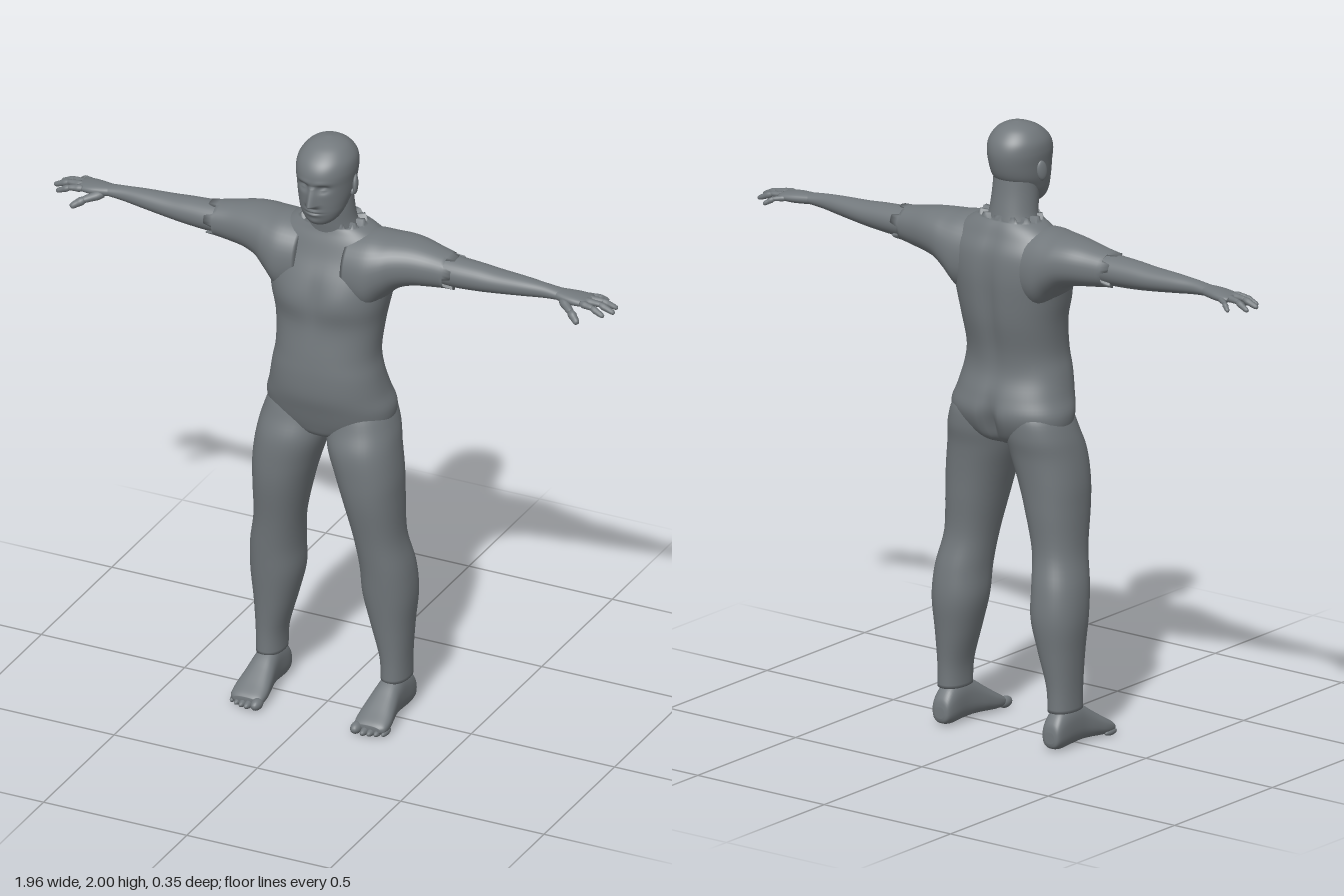
import * as THREE from 'three';

const grey = new THREE.MeshStandardMaterial({ color: 0x72787c });
grey.name = 'grey';

// Which coordinate each ring column drives: [sweep, u, v]
const AXES = { x: [0, 1, 2], y: [1, 2, 0], z: [2, 0, 1] };

// Closed smooth loft; rings are [t, uLow, uHigh, vLow, vHigh] with t rising
function loft(axis, rings, { steps = 5, seg = 40, p = 2.2, deform } = {}) {
  const [it, iu, iv] = AXES[axis];
  const spline = (k, s) => {
    const i = Math.min(Math.floor(s), rings.length - 2), f = s - i;
    const at = (j) => rings[Math.max(0, Math.min(rings.length - 1, j))][k];
    const [a, b, c, d] = [at(i - 1), at(i), at(i + 1), at(i + 2)];
    return b + 0.5 * f * (c - a + f * (2 * a - 5 * b + 4 * c - d + f * (3 * (b - c) + d - a)));
  };
  const pos = [], idx = [], n = (rings.length - 1) * steps;
  const put = (t, u, v, end) => {
    const q = new THREE.Vector3().setComponent(it, t).setComponent(iu, u).setComponent(iv, v);
    if (deform) deform(q, end);
    pos.push(q.x, q.y, q.z);
  };
  const pow = (c) => Math.sign(c) * Math.abs(c) ** (2 / p);
  for (let r = 0; r <= n; r++) {
    const [t, u0, u1, v0, v1] = [0, 1, 2, 3, 4].map((k) => spline(k, r / steps));
    for (let j = 0; j < seg; j++) {
      const a = (j / seg) * Math.PI * 2;
      put(t, (u0 + u1) / 2 + pow(Math.cos(a)) * (u1 - u0) / 2,
        (v0 + v1) / 2 + pow(Math.sin(a)) * (v1 - v0) / 2, r === n ? j + 1 : 0);
      if (r < n) {
        const b = r * seg + j, c = r * seg + (j + 1) % seg;
        idx.push(b, c, c + seg, b, c + seg, b + seg);
      }
    }
  }
  // End caps
  for (const [ring, first] of [[rings[0], 0], [rings[rings.length - 1], n * seg]]) {
    const centre = pos.length / 3;
    put(ring[0], (ring[1] + ring[2]) / 2, (ring[3] + ring[4]) / 2, 0);
    for (let j = 0; j < seg; j++) {
      const b = first + j, c = first + (j + 1) % seg;
      if (first) idx.push(centre, b, c); else idx.push(centre, c, b);
    }
  }
  const g = new THREE.BufferGeometry();
  g.setAttribute('position', new THREE.Float32BufferAttribute(pos, 3));
  g.setIndex(idx);
  g.computeVertexNormals();
  return g;
}

function mirrored(geometry) {
  const g = geometry.clone().scale(-1, 1, 1), i = g.index.array;
  for (let k = 0; k < i.length; k += 3) [i[k], i[k + 1]] = [i[k + 1], i[k]];
  g.computeVertexNormals();
  return g;
}

// Tapered digit with rounded ends between two points
function digit(from, to, r) {
  const a = new THREE.Vector3(...from), d = new THREE.Vector3(...to).sub(a), L = d.length();
  const ring = (t, k) => [t * L, -r * k, r * k, -r * k, r * k];
  const g = loft('x', [ring(0, 0.8), ring(0.25, 1.05), ring(0.5, 0.92), ring(0.8, 0.8),
    ring(0.95, 0.55), ring(1, 0.05)], { steps: 3, seg: 12, p: 2 });
  const q = new THREE.Quaternion().setFromUnitVectors(new THREE.Vector3(1, 0, 0), d.normalize());
  return g.applyQuaternion(q).translate(a.x, a.y, a.z);
}

function ball(x, y, z, a, b, c) {
  return new THREE.SphereGeometry(1, 20, 14).scale(a, b, c).translate(x, y, z);
}

const bump = (d, w) => Math.exp(-((d / w) ** 2));
const sym = (rows) => rows.map(([t, lo, hi, h]) => [t, lo, hi, -h, h]);

export function createModel() {
  const model = new THREE.Group();
  model.name = 'standingFigure';
  const add = (name, geometry) => {
    const m = new THREE.Mesh(geometry, grey);
    m.name = name;
    model.add(m);
  };
  const pair = (name, geometry) => {
    add('left' + name, geometry);
    add('right' + name, mirrored(geometry));
  };

  // Torso with chest, spine groove, buttocks and a ragged collar
  add('torso', loft('y', sym([
    [0.955, -0.07, 0.03, 0.04], [0.975, -0.12, 0.07, 0.11], [1.01, -0.15, 0.088, 0.195],
    [1.07, -0.172, 0.108, 0.214], [1.13, -0.16, 0.125, 0.197], [1.2, -0.138, 0.129, 0.182],
    [1.27, -0.14, 0.124, 0.17], [1.37, -0.162, 0.112, 0.178], [1.45, -0.172, 0.115, 0.195],
    [1.53, -0.176, 0.098, 0.21], [1.6, -0.168, 0.068, 0.21], [1.65, -0.145, 0.05, 0.185],
    [1.68, -0.13, 0.038, 0.145], [1.7, -0.115, 0.032, 0.105],
  ]), {
    seg: 72,
    deform(q, end) {
      if (q.z < -0.05) {
        q.z += 0.035 * bump(q.x, 0.022) * bump(q.y - 1.04, 0.07);
        q.z += 0.014 * bump(q.x, 0.03) * bump(q.y - 1.42, 0.2);
      } else if (q.z > 0.03) {
        q.z += 0.008 * bump(Math.abs(q.x) - 0.085, 0.06) * bump(q.y - 1.47, 0.06);
        q.z -= 0.006 * bump(q.x, 0.02) * bump(q.y - 1.46, 0.08);
      }
      if (end) q.y += end % 6 < 3 ? 0.012 : -0.006;
    },
  }));

  // Shoulder flowing into a short ragged sleeve
  pair('Sleeve', loft('x', [
    [0.08, 1.44, 1.675, -0.15, 0.08], [0.15, 1.425, 1.683, -0.16, 0.085],
    [0.2, 1.475, 1.679, -0.158, 0.07], [0.24, 1.51, 1.678, -0.152, 0.05],
    [0.29, 1.527, 1.674, -0.142, 0.032], [0.35, 1.535, 1.663, -0.125, 0.018],
    [0.41, 1.543, 1.652, -0.11, 0.012],
  ], { deform(q, end) { if (end) q.x += end % 8 < 4 ? 0.02 : -0.015; } }));

  pair('Arm', loft('x', [
    [0.32, 1.55, 1.65, -0.11, 0.005], [0.42, 1.549, 1.647, -0.105, 0.005],
    [0.5, 1.553, 1.643, -0.1, 0], [0.57, 1.56, 1.637, -0.095, -0.006],
    [0.66, 1.571, 1.633, -0.085, -0.015], [0.73, 1.58, 1.628, -0.076, -0.023],
    [0.78, 1.585, 1.622, -0.077, -0.024], [0.8, 1.587, 1.619, -0.08, -0.024],
  ], { p: 2 }));

  // Palm and spread fingers
  pair('Palm', loft('x', [
    [0.77, 1.588, 1.62, -0.074, -0.027], [0.8, 1.584, 1.62, -0.082, -0.02],
    [0.84, 1.582, 1.618, -0.092, -0.015], [0.875, 1.585, 1.613, -0.096, -0.019],
    [0.89, 1.59, 1.608, -0.088, -0.027],
  ], { seg: 28 }));
  const fingers = {
    IndexFinger: [[0.868, 1.6, -0.027], [0.91, 1.597, -0.02], [0.955, 1.577, -0.015], 0.0115],
    MiddleFinger: [[0.872, 1.602, -0.046], [0.925, 1.6, -0.047], [0.978, 1.58, -0.046], 0.0115],
    RingFinger: [[0.87, 1.6, -0.066], [0.92, 1.598, -0.076], [0.97, 1.577, -0.086], 0.011],
    LittleFinger: [[0.858, 1.598, -0.084], [0.892, 1.594, -0.105], [0.92, 1.576, -0.124], 0.0095],
    Thumb: [[0.8, 1.594, -0.034], [0.848, 1.58, 0.004], [0.885, 1.558, 0.03], 0.0145],
  };
  for (const [name, [base, knuckle, tip, r]] of Object.entries(fingers)) {
    pair(name + 'Base', digit(base, knuckle.map((k, i) => k + (k - base[i]) * 0.2), r));
    pair(name + 'Tip', digit(knuckle, tip, r * 0.92));
  }

  // Legs, ending in a hem above the foot
  pair('Leg', loft('y', [
    [0.12, -0.115, 0.019, 0.173, 0.262], [0.2, -0.117, 0.021, 0.168, 0.263],
    [0.31, -0.131, 0.033, 0.138, 0.27], [0.42, -0.144, 0.048, 0.111, 0.28],
    [0.52, -0.135, 0.061, 0.107, 0.274], [0.63, -0.113, 0.078, 0.094, 0.253],
    [0.76, -0.12, 0.104, 0.064, 0.25], [0.85, -0.126, 0.113, 0.038, 0.248],
    [0.94, -0.136, 0.113, 0.01, 0.237], [1.01, -0.15, 0.092, 0.003, 0.223],
    [1.08, -0.145, 0.07, 0.01, 0.195], [1.12, -0.1, 0.03, 0.04, 0.14],
  ]));

  // Feet and toes
  pair('Foot', loft('z', [
    [-0.13, 0.2, 0.235, 0.025, 0.06], [-0.122, 0.185, 0.25, 0.008, 0.09],
    [-0.09, 0.178, 0.256, 0.001, 0.125], [-0.03, 0.177, 0.257, 0.004, 0.14],
    [0.015, 0.172, 0.259, 0.006, 0.124], [0.06, 0.164, 0.266, 0.004, 0.095],
    [0.105, 0.158, 0.273, 0.001, 0.066], [0.14, 0.161, 0.27, 0.004, 0.045],
    [0.152, 0.172, 0.255, 0.012, 0.034],
  ], { p: 2.5 }));
  for (let i = 0; i < 5; i++) {
    const r = i ? 0.0125 - i * 0.0006 : 0.018;
    pair('Toe' + (i + 1), ball(i ? 0.182 + i * 0.0205 : 0.174, r * 1.05, 0.15 - i * i * 0.0016,
      r, r * 1.05, 0.029));
  }

  // Neck and head
  add('neck', loft('y', sym([
    [1.62, -0.12, 0.03, 0.095], [1.68, -0.11, 0.038, 0.088], [1.72, -0.103, 0.045, 0.079],
    [1.78, -0.093, 0.052, 0.074], [1.85, -0.085, 0.045, 0.07],
  ]), { p: 2 }));
  add('head', loft('y', sym([
    [1.727, 0.03, 0.07, 0.015], [1.733, 0.01, 0.088, 0.036], [1.75, -0.015, 0.098, 0.056],
    [1.775, -0.04, 0.105, 0.07], [1.8, -0.066, 0.109, 0.078], [1.83, -0.093, 0.112, 0.085],
    [1.87, -0.108, 0.115, 0.09], [1.91, -0.113, 0.116, 0.094], [1.945, -0.104, 0.1, 0.089],
    [1.975, -0.08, 0.066, 0.068], [1.992, -0.052, 0.03, 0.04], [2, -0.018, -0.004, 0.006],
  ]), {
    seg: 112, steps: 9, p: 2.1,
    deform(q) {
      if (q.z < 0.03) return;
      const ax = Math.abs(q.x), h = (q.y - 1.812) / 0.06;
      // Nose, eye sockets, eyelids, brow, mouth and chin
      if (h > -0.25 && h < 1) {
        q.z += 0.033 * (h < 0 ? 1 + h * 4 : 1 - h * 0.85) * bump(q.x, 0.011 + 0.006 * (1 - h));
      }
      q.z -= 0.016 * bump(ax - 0.034, 0.018) * bump(q.y - 1.868, 0.013);
      q.z += 0.008 * bump(ax - 0.035, 0.011) * bump(q.y - 1.865, 0.006);
      q.z += 0.004 * bump(ax - 0.03, 0.03) * bump(q.y - 1.888, 0.009);
      q.z += 0.009 * bump(q.x, 0.026) * bump(q.y - 1.78, 0.014);
      q.z -= 0.009 * bump(q.x, 0.024) * bump(q.y - 1.78, 0.0035);
      q.z += 0.005 * bump(q.x, 0.02) * bump(q.y - 1.747, 0.012);
    },
  }));
  const ear = ball(0, 0, 0, 0.009, 0.033, 0.019).rotateX(-0.15).rotateY(0.3);
  pair('Ear', ear.translate(0.093, 1.852, -0.006));
  pair('EarLobe', ball(0.088, 1.827, 0.002, 0.007, 0.012, 0.01));

  return model;
}
